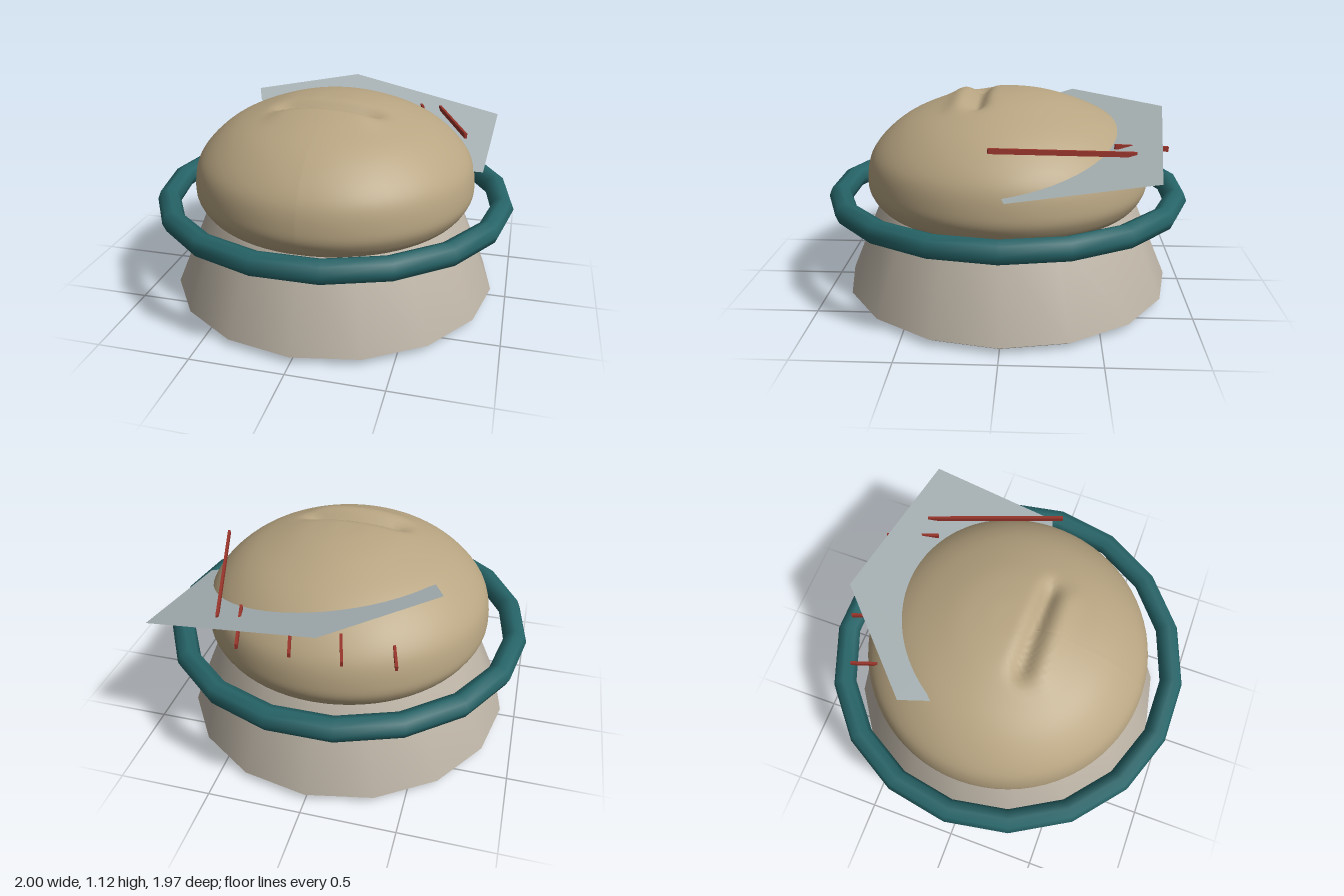
import * as THREE from 'three';

const v2 = (x, y) => new THREE.Vector2(x, y);

function addMesh(group, name, geometry, color, side = THREE.FrontSide) {
  const mesh = new THREE.Mesh(geometry, new THREE.MeshStandardMaterial({ color, side }));
  mesh.name = name;
  group.add(mesh);
  return mesh;
}

// Rounded dome with a short crease pressed into the top
function domeGeometry() {
  const profile = new THREE.SplineCurve([
    v2(0.5, 0.44), v2(0.69, 0.49), v2(0.765, 0.57), v2(0.78, 0.66), v2(0.75, 0.79),
    v2(0.65, 0.91), v2(0.51, 1.005), v2(0.3, 1.085), v2(0.13, 1.117), v2(0, 1.122),
  ]).getPoints(60);
  profile[60].x = 0;
  const geo = new THREE.LatheGeometry(profile, 72);
  const pos = geo.attributes.position;
  for (let i = 0; i < pos.count; i++) {
    const x = pos.getX(i), y = pos.getY(i), z = pos.getZ(i);
    if (y < 0.9) continue;
    const across = 1 - THREE.MathUtils.smoothstep(Math.abs(x), 0.2, 0.34);
    const groove = -0.05 * Math.exp(-(((z - 0.15) / 0.045) ** 2));
    const lip = 0.018 * Math.exp(-(((z - 0.26) / 0.05) ** 2));
    pos.setY(i, y + across * (groove + lip));
  }
  geo.computeVertexNormals();
  return geo;
}

// Thin slanted sheet wrapping the back and left of the dome
function sheetGeometry() {
  const outline = [
    [-0.51, -0.23], [-0.57, -0.38], [-0.07, -0.86], [0.85, -0.74], [0.82, -0.02], [0.75, 0],
    [0.69, -0.2], [0.58, -0.36], [0.42, -0.48], [0.22, -0.56], [0, -0.57], [-0.2, -0.5], [-0.4, -0.34],
  ];
  const geo = new THREE.ShapeGeometry(new THREE.Shape(outline.map(([x, z]) => v2(x, -z))));
  const pos = geo.attributes.position;
  for (let i = 0; i < pos.count; i++) {
    const x = pos.getX(i), z = -pos.getY(i);
    const y = 1.02 - 0.23 * ((x + 0.57) * 0.69 + (z + 0.38) * 0.72);
    pos.setXYZ(i, x, y, z);
  }
  geo.computeVertexNormals();
  return geo;
}

// Thin bar between two points
function addSpike(group, name, from, to) {
  const a = new THREE.Vector3(...from), b = new THREE.Vector3(...to);
  const spike = addMesh(group, name, new THREE.BoxGeometry(0.014, 0.026, a.distanceTo(b)), 0x98342a);
  spike.position.copy(a).add(b).multiplyScalar(0.5);
  spike.lookAt(b);
}

export function createModel() {
  const model = new THREE.Group();
  model.name = 'domedStand';

  // Flared foot
  const foot = new THREE.LatheGeometry([
    v2(0, 0), v2(0.86, 0.005), v2(0.915, 0.04), v2(0.725, 0.49), v2(0.66, 0.62), v2(0, 0.62),
  ], 16);
  addMesh(model, 'base', foot, 0xbfb6a8);

  addMesh(model, 'dome', domeGeometry(), 0xb8a582);

  // Ring around the waist
  const ring = new THREE.TorusGeometry(0.937, 0.063, 8, 18);
  ring.rotateX(Math.PI / 2);
  addMesh(model, 'ring', ring, 0x266468).position.y = 0.548;

  addMesh(model, 'sheet', sheetGeometry(), 0xa6b0b2, THREE.DoubleSide);

  // One long spike, and a row of shorter ones under the sheet
  const spikes = new THREE.Group();
  spikes.name = 'spikes';
  model.add(spikes);
  addSpike(spikes, 'longSpike', [0.5, 0.895, -0.66], [0.72, 0.965, 0.06]);
  const tails = [[0.33, 0.88, -0.84], [0.07, 0.88, -0.84], [-0.18, 0.87, -0.83], [-0.42, 0.82, -0.74]];
  tails.forEach(([x, y, z], i) => {
    addSpike(spikes, `shortSpike${i + 1}`, [x, y, z], [x + 0.08, y + 0.03, z + 0.28]);
  });

  return model;
}
